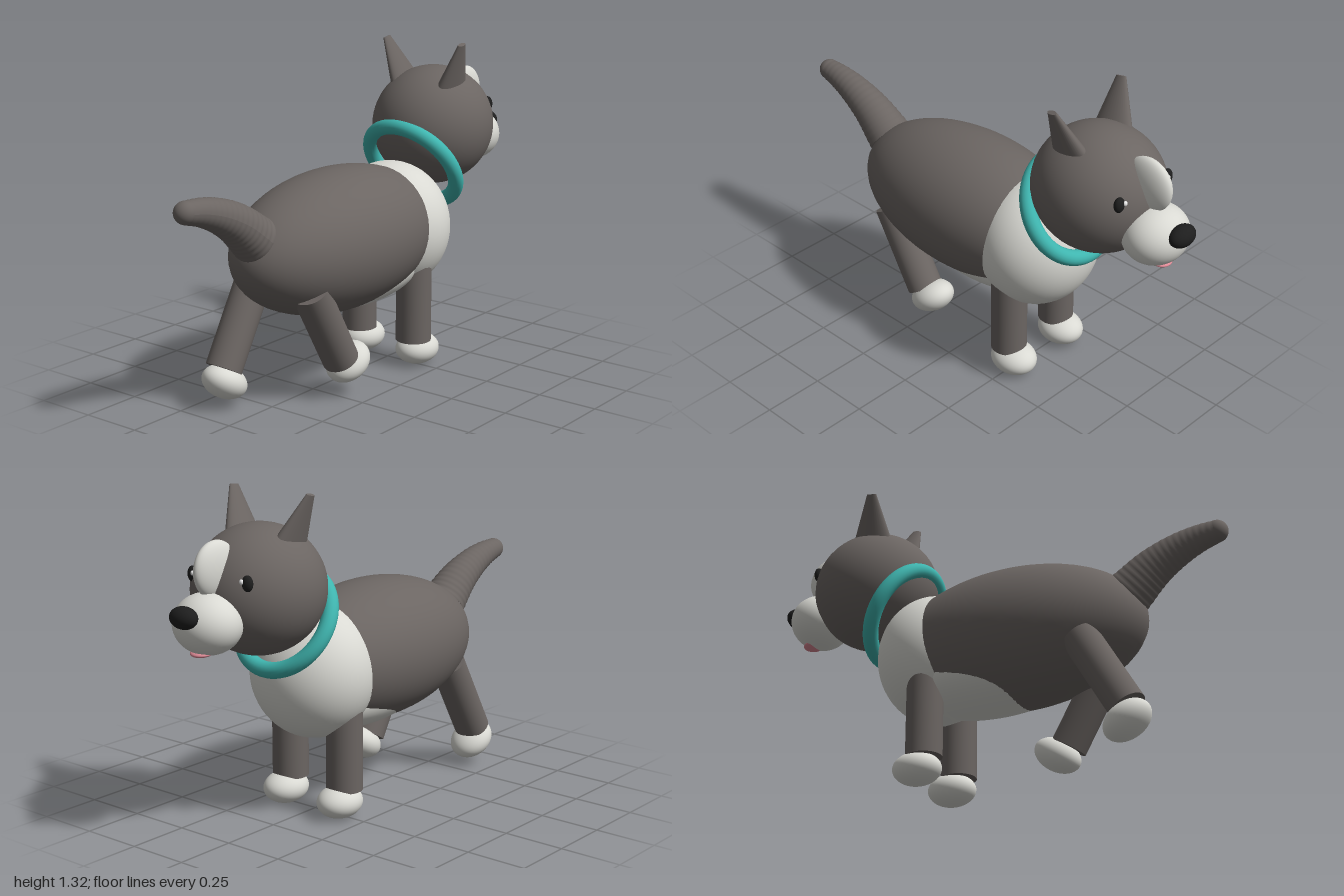
import * as THREE from 'three';

const mat = (name, color) => {
  const m = new THREE.MeshStandardMaterial({ color });
  m.name = name;
  return m;
};

export function createModel() {
  const dog = new THREE.Group();
  dog.name = 'dog';
  const fur = mat('greyFur', 0x6b6562);
  const pale = mat('paleFur', 0xd9d9d3);
  const teal = mat('tealCollar', 0x3fb5af);
  const black = mat('black', 0x1e1e1e);
  const pink = mat('pinkTongue', 0xe08c98);
  const white = mat('eyeHighlight', 0xffffff);

  const add = (name, geometry, material, pos = [0, 0, 0], parent = dog) => {
    const mesh = new THREE.Mesh(geometry, material);
    mesh.name = name;
    mesh.position.set(...pos);
    parent.add(mesh);
    return mesh;
  };
  const ball = new THREE.SphereGeometry(1, 48, 32);
  const ellipsoid = (name, material, pos, radii, parent) => {
    const mesh = add(name, ball, material, pos, parent);
    mesh.scale.set(...radii);
    return mesh;
  };

  // Torso
  ellipsoid('body', fur, [-0.1, 0.595, 0], [0.553, 0.286, 0.29]);
  ellipsoid('chest', pale, [0.258, 0.575, 0], [0.242, 0.268, 0.255]);
  ellipsoid('belly', pale, [0.01, 0.45, 0], [0.4, 0.148, 0.212]);

  // Head and face
  ellipsoid('head', fur, [0.56, 0.953, 0], [0.265, 0.25, 0.25]);
  ellipsoid('muzzle', pale, [0.835, 0.87, 0], [0.125, 0.115, 0.135]);
  ellipsoid('nose', black, [0.955, 0.913, 0], [0.042, 0.042, 0.061]);
  ellipsoid('blaze', pale, [0.79, 1.062, 0], [0.106, 0.108, 0.042]);
  ellipsoid('tongue', pink, [0.868, 0.769, 0], [0.042, 0.014, 0.045]).rotation.z = -0.15;

  // Ears and eyes, mirrored
  const earShape = new THREE.CylinderGeometry(0.022, 0.088, 0.2, 32);
  earShape.scale(1, 1, 0.45);
  for (const s of [-1, 1]) {
    const ear = add('ear', earShape, fur, [0.502, 1.223, s * 0.154]);
    ear.rotation.set(s * 0.38, 0, 0.16);
    ellipsoid('eye', black, [0.768, 1.024, s * 0.136], [0.018, 0.031, 0.023]);
    ellipsoid('eyeHighlight', white, [0.784, 1.031, s * 0.122], [0.008, 0.01, 0.009]);
  }

  // Collar, tilted around the neck
  const collar = add('collar', new THREE.TorusGeometry(0.205, 0.032, 20, 64), teal, [0.418, 0.805, 0]);
  collar.quaternion.setFromUnitVectors(new THREE.Vector3(0, 0, 1), new THREE.Vector3(0.84, 0.54, 0).normalize());

  // Tail: a tapering curved tube with fine ridges, closed at both ends
  const spine = new THREE.CatmullRomCurve3([
    [-0.59, 0.695], [-0.69, 0.775], [-0.79, 0.828], [-0.88, 0.858], [-0.957, 0.872],
  ].map(([x, y]) => new THREE.Vector3(x, y, 0)));
  const steps = 64, sides = 32;
  const tailShape = new THREE.TubeGeometry(spine, steps, 1, sides, false);
  const p = tailShape.attributes.position, v = new THREE.Vector3();
  for (let i = 0; i < p.count; i++) {
    const t = Math.floor(i / (sides + 1)) / steps;
    const c = spine.getPointAt(t);
    const r = THREE.MathUtils.lerp(0.095, 0.044, t) * (1 + 0.012 * Math.sin(t * Math.PI * 32));
    v.fromBufferAttribute(p, i).sub(c).multiplyScalar(r).add(c);
    p.setXYZ(i, v.x, v.y, v.z);
  }
  tailShape.computeVertexNormals();
  add('tail', tailShape, fur);
  ellipsoid('tailTip', fur, [-0.957, 0.872, 0], [0.044, 0.044, 0.044]);
  const cap = add('tailBase', new THREE.CircleGeometry(0.095, sides), fur, [-0.59, 0.695, 0]);
  cap.quaternion.setFromUnitVectors(new THREE.Vector3(0, 0, 1), spine.getTangentAt(0).negate());

  // Legs: each hangs from its pivot and swings about z
  const legShape = new THREE.CylinderGeometry(0.073, 0.073, 0.37, 40);
  const leg = (name, x, z, swing) => {
    const g = new THREE.Group();
    g.name = name;
    g.position.set(x, 0.48, z);
    g.rotation.z = swing;
    dog.add(g);
    add('leg', legShape, fur, [0, -0.185, 0], g);
    ellipsoid('paw', pale, [0.029, -0.414, 0], [0.1, 0.065, 0.085], g);
  };
  leg('leftForeleg', 0.237, -0.141, 0);
  leg('rightForeleg', 0.237, 0.141, 0);
  leg('leftHindLeg', -0.435, -0.141, -Math.PI / 6);
  leg('rightHindLeg', -0.435, 0.141, Math.PI / 6);

  return dog;
}
